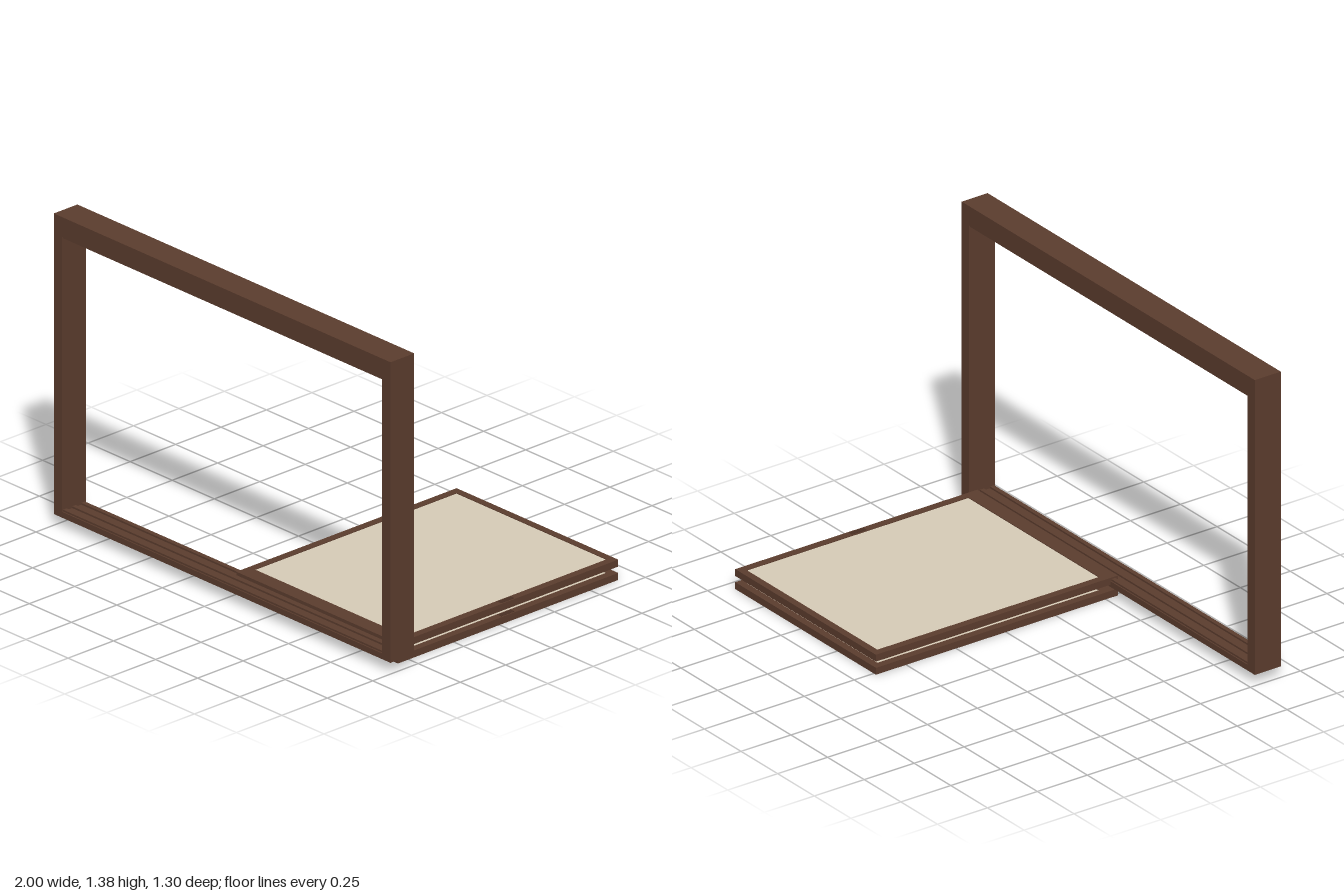
import * as THREE from 'three';

const wood = new THREE.MeshStandardMaterial({ color: 0x5c3d2e });
wood.name = 'brown wood';
const paper = new THREE.MeshStandardMaterial({ color: 0xd8cdb8 });
paper.name = 'cream paper';
const pullWood = new THREE.MeshStandardMaterial({ color: 0x4a3024 });
pullWood.name = 'dark wood';

// Box given by its extents along each axis
function box(parent, name, [x0, x1], [y0, y1], [z0, z1], material = wood) {
  const mesh = new THREE.Mesh(new THREE.BoxGeometry(x1 - x0, y1 - y0, z1 - z0), material);
  mesh.position.set((x0 + x1) / 2, (y0 + y1) / 2, (z0 + z1) / 2);
  mesh.name = name;
  parent.add(mesh);
}

// Upright opening with grooved tracks above and below
function createFrame() {
  const frame = new THREE.Group();
  frame.name = 'windowFrame';
  const depth = [0.522, 0.652];
  box(frame, 'lintel', [-1, 1], [1.293, 1.38], depth);
  box(frame, 'sill', [-1, 1], [0.05, 0.076], depth);
  box(frame, 'rightPost', [-1, -0.95], [0.076, 1.293], depth);
  box(frame, 'leftPost', [0.95, 1], [0.076, 1.293], depth);

  // Three ridges leave two sliding grooves
  for (const z of [0.537, 0.587, 0.637]) {
    const ridge = [z - 0.01, z + 0.01];
    box(frame, 'lintelTrack', [-0.95, 0.95], [1.285, 1.293], ridge);
    box(frame, 'sillTrack', [-0.95, 0.95], [0.076, 0.084], ridge);
  }
  return frame;
}

// Paper screen lying flat, lattice on its underside
function createScreen(name, y) {
  const screen = new THREE.Group();
  screen.name = name;
  screen.position.y = y;
  const x0 = -0.015, x1 = 0.945, z0 = -0.652, z1 = 0.56;
  const inX = [x0 + 0.034, x1 - 0.034], inZ = [z0 + 0.032, 0.49];
  const thick = [0, 0.031], bar = [0.008, 0.025];

  box(screen, 'stile', [x0, inX[0]], thick, [z0, z1]);
  box(screen, 'stile', [inX[1], x1], thick, [z0, z1]);
  box(screen, 'topRail', inX, thick, [z0, inZ[0]]);
  box(screen, 'bottomRail', inX, thick, [inZ[1], z1]);
  box(screen, 'paper', inX, [0.025, 0.028], inZ, paper);

  // Lattice of two by three panes
  const cx = (inX[0] + inX[1]) / 2;
  box(screen, 'latticeBar', [cx - 0.009, cx + 0.009], bar, inZ);
  for (const i of [1, 2]) {
    const z = THREE.MathUtils.lerp(inZ[0], inZ[1], i / 3);
    box(screen, 'latticeCrossbar', inX, bar, [z - 0.009, z + 0.009]);
  }

  // Finger pulls on both faces of the outer stile
  const pullX = [x1 - 0.029, x1 - 0.006], pullZ = [-0.087, -0.015];
  box(screen, 'fingerPull', pullX, [0.03, 0.032], pullZ, pullWood);
  box(screen, 'fingerPull', pullX, [0, 0.001].map((v) => v - 0.0005), pullZ, pullWood);
  return screen;
}

export function createModel() {
  const model = new THREE.Group();
  model.name = 'slidingWindow';
  model.add(createFrame(), createScreen('lowerScreen', 0.001), createScreen('upperScreen', 0.06));
  return model;
}
